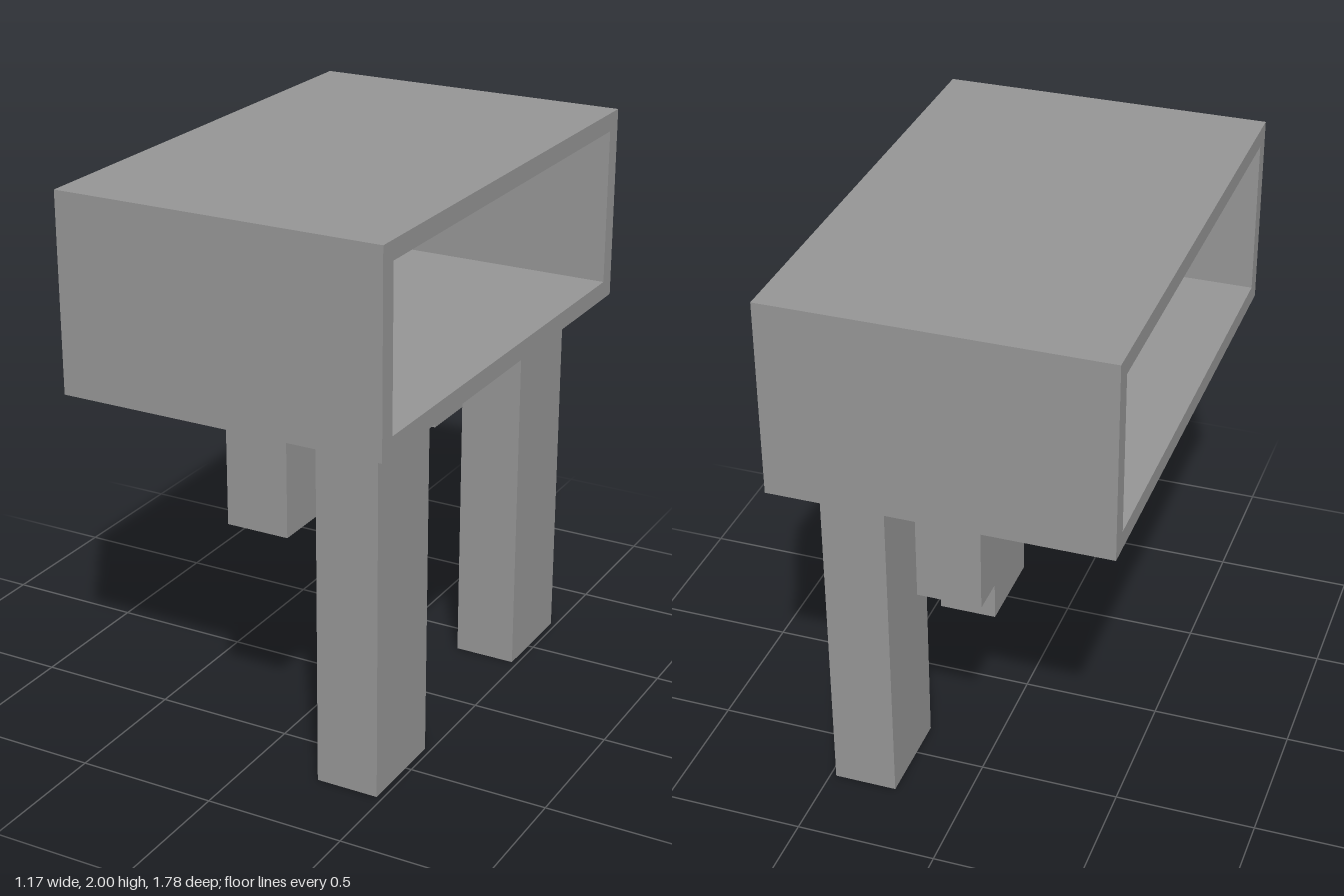
import * as THREE from 'three';

export function createModel() {
  const group = new THREE.Group();
  const grey = new THREE.MeshStandardMaterial({ color: 0x959595 });
  grey.name = 'grey';

  // Rectangular sleeve, open at both x ends
  const width = 1.174, halfZ = 0.888, bottom = 1.305, top = 2, wall = 0.066;
  const rect = (path, z, y0, y1) => {
    path.moveTo(-z, y0);
    path.lineTo(z, y0);
    path.lineTo(z, y1);
    path.lineTo(-z, y1);
    path.closePath();
    return path;
  };
  const outline = rect(new THREE.Shape(), halfZ, bottom, top);
  outline.holes.push(rect(new THREE.Path(), halfZ - wall, bottom + wall, top - wall));
  const sleeveGeometry = new THREE.ExtrudeGeometry(outline, { depth: width, bevelEnabled: false });
  sleeveGeometry.translate(0, 0, -width / 2);
  sleeveGeometry.rotateY(Math.PI / 2);
  const sleeve = new THREE.Mesh(sleeveGeometry, grey);
  sleeve.name = 'openBox';
  group.add(sleeve);

  // Post hanging from the underside of the box down to the given height
  const addPost = (name, x, z, foot) => {
    const height = bottom - foot;
    const post = new THREE.Mesh(new THREE.BoxGeometry(0.226, height, 0.355), grey);
    post.position.set(x, foot + height / 2, z);
    post.name = name;
    group.add(post);
  };

  // A long leg and a short stub at the front and at the back
  for (const [side, z] of [['front', 0.533], ['back', -0.533]]) {
    addPost(side + 'Leg', 0.366, z, 0);
    addPost(side + 'Stub', 0.032, z, 0.88);
  }
  return group;
}
